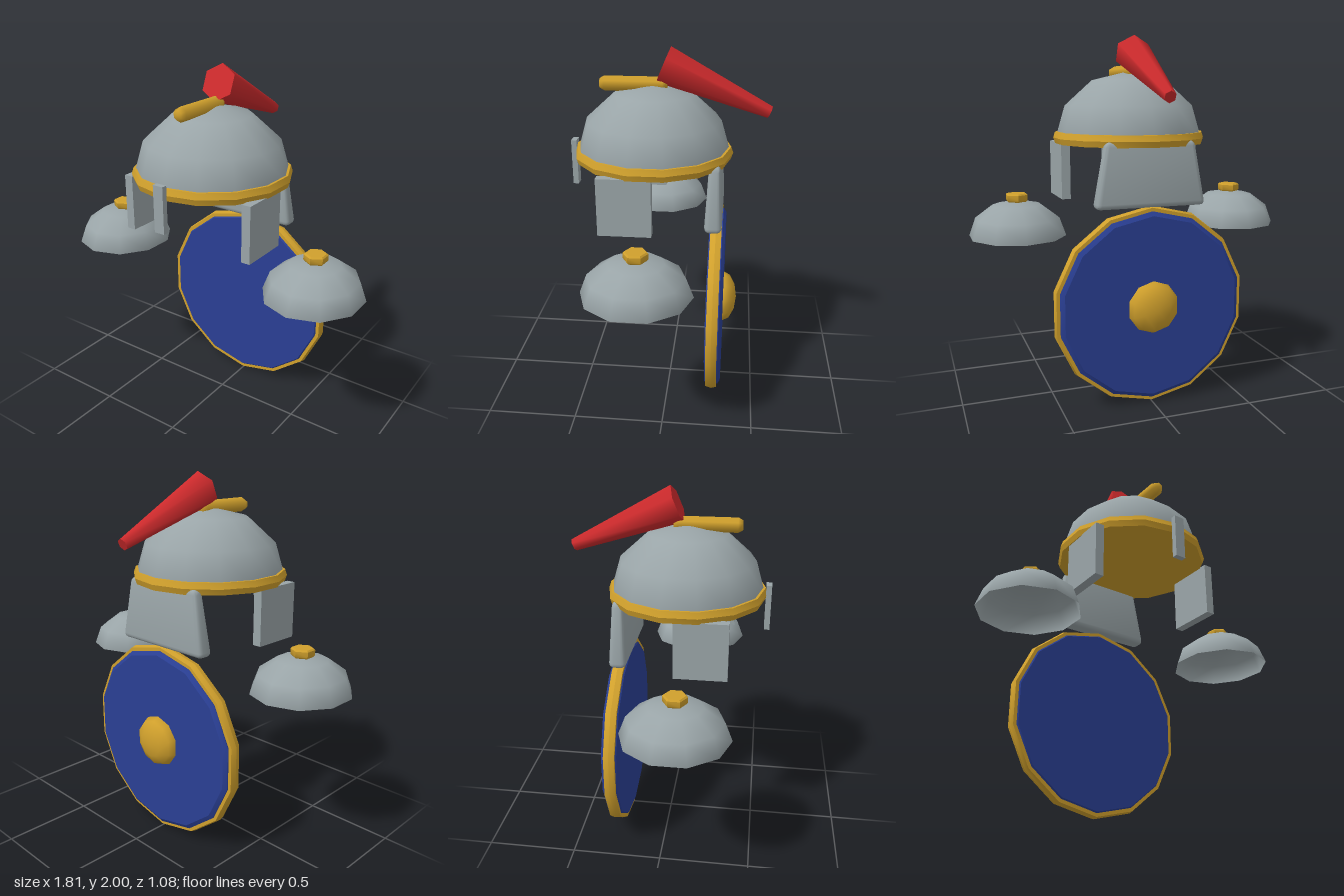
import * as THREE from 'three';
import { toCreasedNormals } from 'three/addons/utils/BufferGeometryUtils.js';
import { RoundedBoxGeometry } from 'three/addons/geometries/RoundedBoxGeometry.js';

const material = (name, color, side = THREE.FrontSide) => {
  const m = new THREE.MeshStandardMaterial({ color, side });
  m.name = name;
  return m;
};

export function createModel() {
  const steel = material('steel', 0x9aa5a8, THREE.DoubleSide);
  const gold = material('gold', 0xd0a02c);
  const blue = material('blue', 0x2a3f94);
  const red = material('red', 0xcc2a2c);

  const model = new THREE.Group();
  model.name = 'armourSet';

  const add = (name, geometry, mat, x = 0, y = 0, z = 0, parent = model) => {
    const mesh = new THREE.Mesh(geometry, mat);
    mesh.name = name;
    mesh.position.set(x, y, z);
    parent.add(mesh);
    return mesh;
  };
  // Turned solid from [radius, height] points listed bottom to top
  const turned = (points, sides, crease = 0.7) =>
    toCreasedNormals(new THREE.LatheGeometry(points.map(p => new THREE.Vector2(...p)), sides), crease);
  // Low-poly hemisphere, open underneath, one vertex facing +z
  const dome = (rx, h, rz, sides) => {
    const g = new THREE.SphereGeometry(1, sides, 3, Math.PI / 2, Math.PI * 2, 0, Math.PI / 2);
    return g.scale(rx, h, rz);
  };

  // Helmet bowl and brow band
  const helmet = new THREE.Group();
  helmet.name = 'helmet';
  model.add(helmet);
  add('helmetBowl', dome(0.42, 0.38, 0.42, 14), steel, 0, 1.43, 0.09, helmet);
  add('browBand', turned([[0, 1.41], [0.42, 1.41], [0.431, 1.442], [0.42, 1.475], [0, 1.475]], 14, 0.5),
    gold, 0, 0, 0.09, helmet);

  // Nose guard and cheek plates
  add('noseGuard', new THREE.BoxGeometry(0.06, 0.25, 0.03), steel, 0, 1.37, 0.527, helmet);
  for (const s of [1, -1])
    add(s > 0 ? 'leftCheekPlate' : 'rightCheekPlate',
      new THREE.BoxGeometry(0.05, 0.31, 0.28), steel, s * 0.38, 1.26, 0.2, helmet);

  // Neck guard: rounded slab narrowing toward the top
  const neck = new RoundedBoxGeometry(0.62, 0.35, 0.095, 2, 0.028);
  const p = neck.attributes.position;
  for (let i = 0; i < p.count; i++) {
    const t = p.getY(i) / 0.35 + 0.5;
    p.setX(i, p.getX(i) * (1 - 0.2 * t));
    p.setZ(i, p.getZ(i) * (1 - 0.38 * t));
  }
  add('neckGuard', toCreasedNormals(neck, 0.8), steel, 0, 1.265, -0.25, helmet);

  // Crest holder lying along z, and the plume sweeping back
  const holder = new THREE.LatheGeometry(
    [[0, -0.18], [0.026, -0.18], [0.04, -0.155], [0.04, 0.155], [0.026, 0.18], [0, 0.18]]
      .map(q => new THREE.Vector2(...q)), 6);
  add('crestHolder', holder.rotateX(Math.PI / 2), gold, 0, 1.805, 0.195, helmet);
  const big = new THREE.Vector3(0, 1.908, 0.036);
  const tip = new THREE.Vector3(0, 1.67, -0.525);
  const axis = big.clone().sub(tip);
  const plume = add('plume', new THREE.CylinderGeometry(0.101, 0.033, axis.length(), 6), red, 0, 0, 0, helmet);
  plume.position.copy(big).add(tip).multiplyScalar(0.5);
  plume.quaternion.setFromUnitVectors(new THREE.Vector3(0, 1, 0), axis.normalize());

  // Shoulder guards with gold studs
  for (const s of [1, -1]) {
    const shoulder = new THREE.Group();
    shoulder.name = s > 0 ? 'leftShoulder' : 'rightShoulder';
    shoulder.position.set(s * 0.65, 0.91, 0.105);
    model.add(shoulder);
    add('shoulderCup', dome(0.268, 0.2, 0.283, 10), steel, 0, 0, 0, shoulder);
    add('shoulderStud', turned([[0, 0.175], [0.055, 0.19], [0.063, 0.2], [0.063, 0.228], [0.055, 0.236], [0, 0.236]], 6),
      gold, 0, 0, 0, shoulder);
  }

  // Round shield on the back, its outer face toward -z
  const shield = new THREE.Group();
  shield.name = 'shield';
  shield.position.set(0, 0.55, -0.27);
  shield.rotation.x = -Math.PI / 2;
  model.add(shield);
  add('shieldBoard', turned([[0, -0.042], [0.515, -0.042], [0.523, -0.034], [0.523, 0.03], [0.5, 0.045], [0, 0.045]], 14, 0.5),
    blue, 0, 0, 0, shield);
  add('shieldRim', turned([[0.5, -0.035], [0.542, -0.035], [0.55, -0.005], [0.542, 0.025], [0.5, 0.025]], 14, 0.5),
    gold, 0, 0, 0, shield);
  add('shieldBoss', dome(0.147, 0.08, 0.147, 10), gold, 0, 0.041, 0, shield);

  return model;
}
